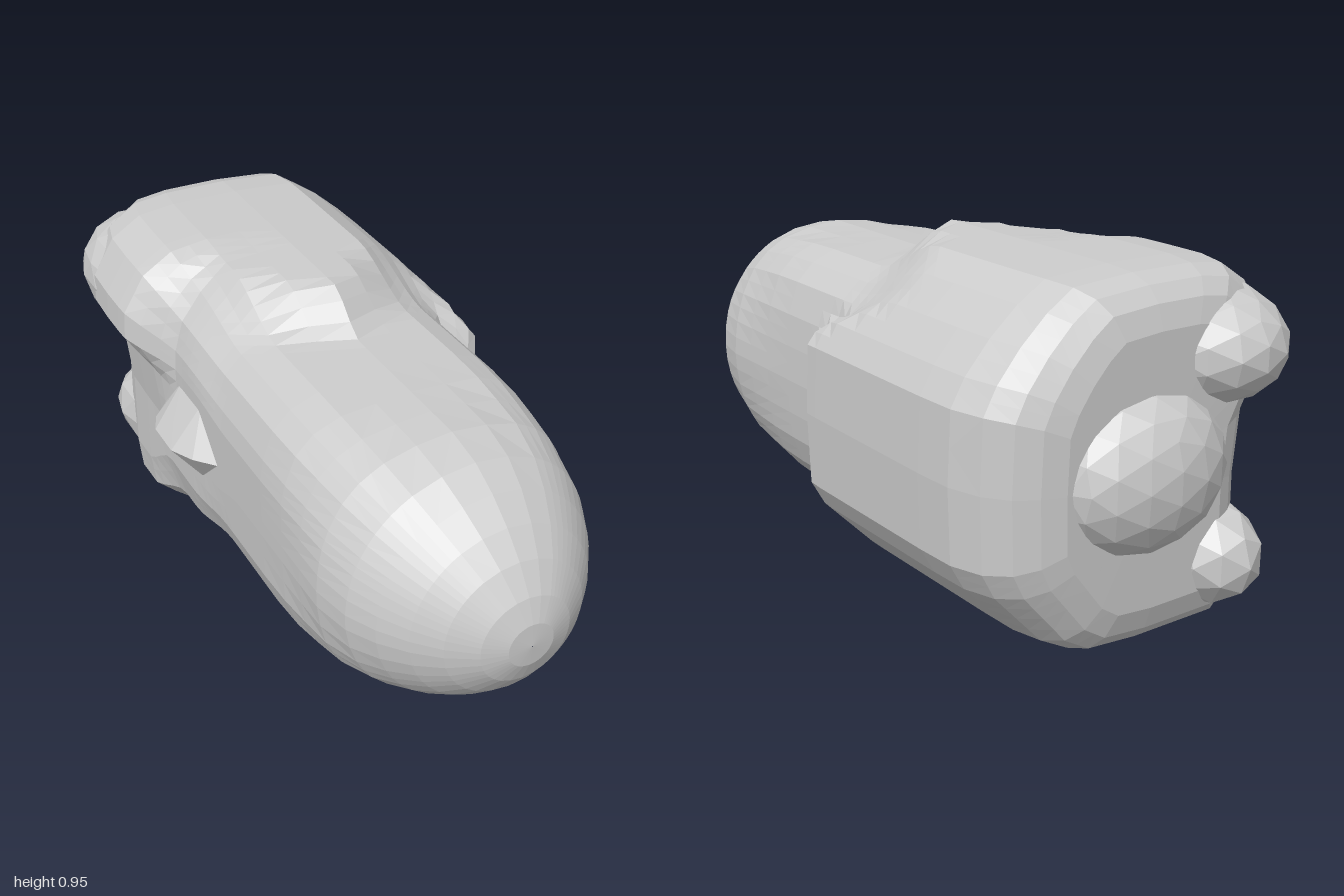
import * as THREE from 'three';
import { ConvexGeometry } from 'three/addons/geometries/ConvexGeometry.js';

const MID_Y = 0.48;
const lerp = THREE.MathUtils.lerp;
const smooth = THREE.MathUtils.smoothstep;

// Doubles the points of a closed outline by adding edge midpoints
const refine = (outline) => outline.flatMap((p, i) => {
  const q = outline[(i + 1) % outline.length];
  return [p, [(p[0] + q[0]) / 2, (p[1] + q[1]) / 2]];
});

// Cross-sections, anticlockwise from bottom centre, matched point by point
const front = [
  [0, .115], [.2, .125], [.27, .16], [.32, .22], [.35, .3], [.36, .38], [.365, .48], [.36, .58],
  [.35, .67], [.32, .76], [.27, .81], [.2, .84], [0, .85], [-.2, .84], [-.28, .81], [-.33, .76],
  [-.36, .68], [-.37, .62], [-.37, .54], [-.37, .44], [-.365, .3], [-.33, .2], [-.2, .125],
];
const middle = [
  [0, .005], [.18, .015], [.27, .06], [.35, .14], [.42, .21], [.46, .28], [.468, .48], [.46, .67],
  [.42, .74], [.35, .82], [.27, .89], [.19, .94], [0, .953], [-.2, .94], [-.28, .87], [-.34, .79],
  [-.365, .7], [-.37, .64], [-.37, .56], [-.37, .4], [-.37, .27], [-.33, .13], [-.21, .02],
];
// The right side swells out near the back, at the shoulder and the lower corner
const back = [
  ...middle.slice(0, 13), [-.2, .953], [-.31, .94], [-.4, .885],
  [-.465, .78], [-.47, .7], [-.39, .58], [-.37, .4], [-.375, .16], [-.365, .06], [-.31, .01],
];
const [frontSection, middleSection, backSection] = [front, middle, back].map(refine);

// Rings along the body: [z, width scale, height scale]
const rings = [
  [1, .004, .004], [.995, .17, .17], [.97, .34, .34], [.92, .53, .53], [.86, .69, .69],
  [.79, .83, .83], [.71, .94, .94], [.6, 1, 1], [.5, 1, 1], [.4, 1, 1], [.28, 1, 1],
];
for (let z = 0.16; z > -0.58; z -= 0.045) rings.push([z, 1, 1]);
rings.push([-.68, .99, 1], [-.77, .93, .99], [-.83, .83, .95], [-.865, .71, .87], [-.885, .58, .74], [-.89, .004, .004]);

// Point j of the body outline at depth z
function bodyPoint(j, z, scaleX, scaleY) {
  const [fx, fy] = frontSection[j];
  const [mx, my] = middleSection[j];
  const [bx, by] = backSection[j];
  const angle = Math.atan2(fy - MID_Y, fx);
  const upper = fy > MID_Y;
  // the step to the wide rear runs further back on every corner but the lower left
  const corner = fx < 0 ? 1 : smooth(fy, 0.58, 0.8);
  const lag = 0.2 * corner * Math.sin(2 * angle) ** 2;
  const step = smooth(0.13 - z - lag * 0.7, 0, 0.16 + lag * 0.8);
  const swell = upper ? smooth(-0.28 - z, 0, 0.16) : smooth(-0.38 - z, 0, 0.22);
  let x = lerp(lerp(fx, mx, step), bx, swell);
  let y = lerp(lerp(fy, my, step), by, swell);
  // the nose becomes round towards its tip
  const round = smooth(z, 0.3, 0.8);
  x = lerp(x, 0.37 * Math.cos(angle), round);
  y = lerp(y, MID_Y + 0.37 * Math.sin(angle), round);
  return new THREE.Vector3(x * scaleX, MID_Y + (y - MID_Y) * scaleY, z);
}

function loftBody() {
  const n = frontSection.length, index = [];
  const points = rings.flatMap((ring) => frontSection.map((_, j) => bodyPoint(j, ...ring)));
  for (let i = 0; i < rings.length - 1; i++) {
    for (let j = 0; j < n; j++) {
      const a = i * n + j, b = i * n + (j + 1) % n, c = a + n, d = b + n;
      // split each quad along its shorter diagonal
      if (points[a].distanceTo(points[d]) < points[b].distanceTo(points[c])) index.push(a, c, d, a, d, b);
      else index.push(a, c, b, b, c, d);
    }
  }
  const geometry = new THREE.BufferGeometry().setFromPoints(points);
  geometry.setIndex(index);
  geometry.computeVertexNormals();
  return geometry;
}

export function createModel() {
  const group = new THREE.Group();
  group.name = 'body with lumps';
  const material = new THREE.MeshStandardMaterial({ color: 0xcccccc, flatShading: true });

  function add(name, geometry) {
    const mesh = new THREE.Mesh(geometry, material);
    mesh.name = name;
    group.add(mesh);
    return mesh;
  }
  function addLump(name, position, radii, detail) {
    const mesh = add(name, new THREE.IcosahedronGeometry(1, detail));
    mesh.position.set(...position);
    mesh.scale.set(...radii);
  }

  add('body', loftBody());

  // Lumps on the back
  addLump('rearCentreLump', [.02, .48, -.84], [.25, .21, .16], 2);
  addLump('rearUpperLump', [-.26, .74, -.72], [.21, .165, .26], 2);
  addLump('rearLowerLump', [-.245, .2, -.8], [.135, .14, .175], 1);

  // Ridge-shaped knob on the right side
  add('sideKnob', new ConvexGeometry([
    [-.455, .48, -.26], [-.455, .48, -.14], [-.42, .53, -.2], [-.42, .42, -.2],
    [-.36, .61, -.27], [-.36, .61, -.13], [-.36, .36, -.27], [-.36, .36, -.13],
    [-.36, .5, -.38], [-.36, .48, 0], [-.43, .48, -.32], [-.42, .48, -.07],
  ].map((p) => new THREE.Vector3(...p))));

  return group;
}
